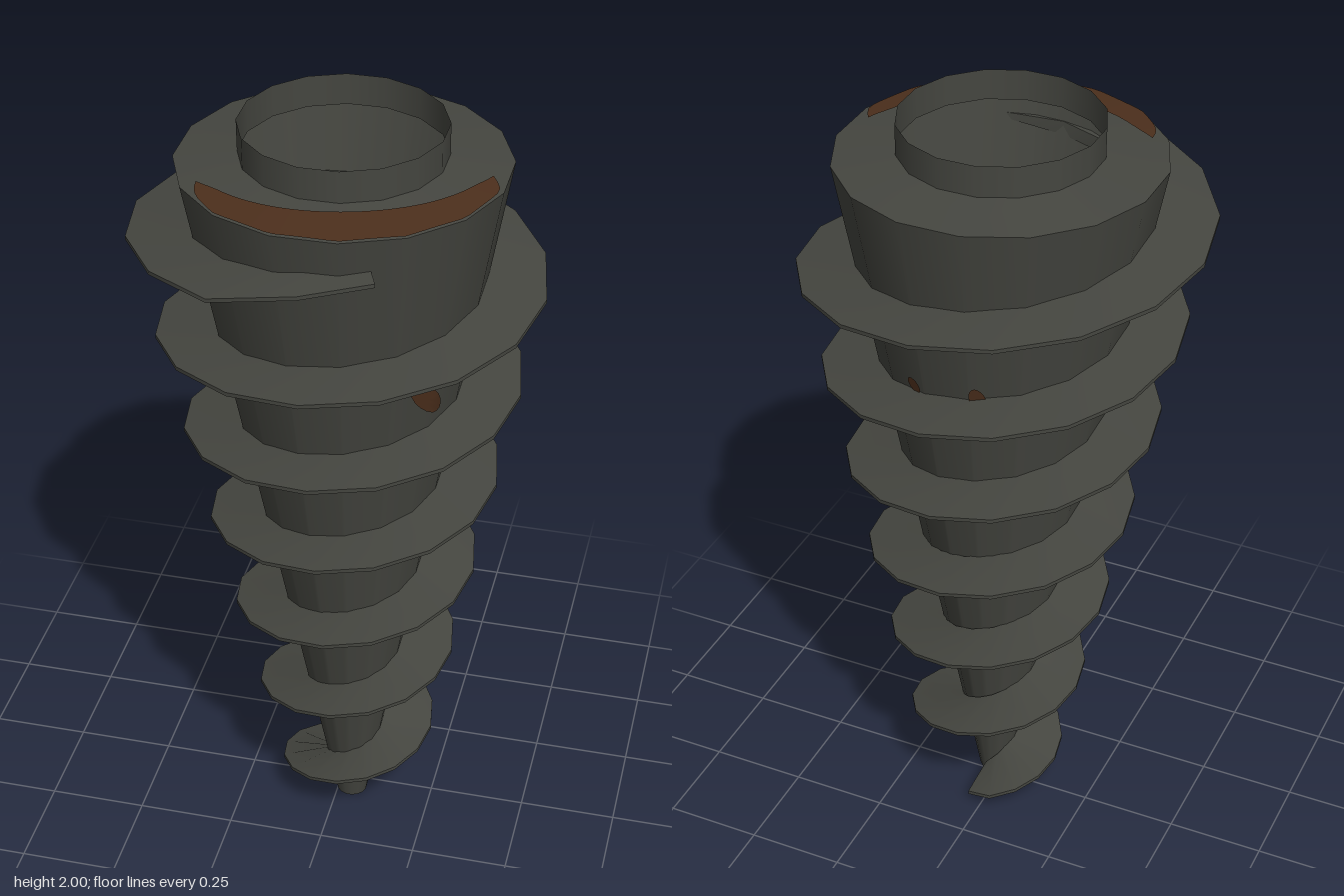
import * as THREE from 'three';

const SIDES = 16;
const TAU = Math.PI * 2;
const bodyRadius = (y) => 0.04 + 0.187 * y;

// the hollow cone leans slightly, so its centre drifts with height
const axisX = (y) => 0.036 - 0.0165 * y;
const axisZ = (y) => 0.036 - 0.0137 * y;

// distance to the flat side of the 16-sided section, as a share of its radius
function facet(phi) {
  const step = TAU / SIDES;
  const d = phi - Math.round(phi / step) * step;
  return Math.cos(step / 2) / Math.cos(d);
}

// surface over a grid: rows of equally many points, smooth within itself
function sheet(rows) {
  const n = rows[0].length;
  const index = [];
  for (let i = 0; i < rows.length - 1; i++) {
    for (let j = 0; j < n - 1; j++) {
      const a = i * n + j;
      index.push(a, a + n, a + 1, a + 1, a + n, a + n + 1);
    }
  }
  const g = new THREE.BufferGeometry();
  g.setAttribute('position', new THREE.Float32BufferAttribute(rows.flat(2), 3));
  g.setIndex(index);
  g.computeVertexNormals();
  return g;
}

export function createModel() {
  const group = new THREE.Group();
  const iron = new THREE.MeshStandardMaterial({ color: 0x454640, side: THREE.DoubleSide });
  iron.name = 'dark iron';
  const rust = new THREE.MeshStandardMaterial({ color: 0x4c2f1c, side: THREE.DoubleSide });
  rust.name = 'rust brown';

  const add = (name, geometry, material, parent = group) => {
    const mesh = new THREE.Mesh(geometry, material);
    mesh.name = name;
    parent.add(mesh);
  };

  // open cone section following the leaning axis
  const section = (name, y0, y1, r0, r1) => {
    const g = new THREE.CylinderGeometry(r1, r0, y1 - y0, SIDES, 1, true);
    g.rotateY(Math.PI / SIDES).translate(0, (y0 + y1) / 2, 0);
    const p = g.attributes.position;
    for (let i = 0; i < p.count; i++) {
      const y = p.getY(i);
      p.setX(i, p.getX(i) + axisX(y));
      p.setZ(i, p.getZ(i) + axisZ(y));
    }
    add(name, g, iron);
  };
  section('body', 0, 1.905, 0.04, 0.396);
  section('shoulder', 1.905, 1.922, 0.396, 0.246);
  section('collar', 1.922, 2, 0.246, 0.246);

  // closed tip
  const tip = new THREE.CircleGeometry(0.04, SIDES);
  tip.rotateX(Math.PI / 2).rotateY(Math.PI / SIDES).translate(axisX(0), 0, axisZ(0));
  add('tip', tip, iron);

  // screw flight: wedge section winding up the cone, tapering out at the top
  const flight = new THREE.Group();
  flight.name = 'screwFlight';
  group.add(flight);
  const steps = 105;
  const lanes = [[], [], [], []];
  for (let i = 0; i <= steps; i++) {
    const a = Math.PI / 2 - 5 * TAU + (i / SIDES) * TAU;
    const y = 1.32 + (0.272 * a) / TAU;
    const inner = bodyRadius(y) - 0.008;
    const full = 0.168 + 0.198 * y;
    const left = steps - i;
    const width = left === 0 ? 0.32 : left === 1 ? 0.55 : i === 0 ? 0.85 : 1;
    const outer = inner + (full - inner) * width;
    const at = (r, h) => [axisX(y) + r * Math.cos(a), y + h, 0.013 - r * Math.sin(a)];
    const root = left === 0 ? 0.008 : 0.018;
    lanes[0].push(at(inner, root));
    lanes[1].push(at(outer, 0.005));
    lanes[2].push(at(outer, -0.005));
    lanes[3].push(at(inner, -root));
  }
  ['flightTop', 'flightEdge', 'flightUnderside', 'flightRoot'].forEach((name, k) => {
    const next = lanes[(k + 1) % 4];
    add(name, sheet(lanes[k].map((p, i) => [p, next[i]])), iron, flight);
  });
  for (const [name, i] of [['flightLowerEnd', 0], ['flightUpperEnd', steps]]) {
    add(name, sheet([[lanes[0][i], lanes[1][i]], [lanes[3][i], lanes[2][i]]]), iron, flight);
  }

  // rust crescent on the shoulder
  const crescent = [];
  for (let i = 0; i <= 40; i++) {
    const t = i / 40;
    const phi = THREE.MathUtils.degToRad(3 + 143 * t);
    const rim = 0.394 * facet(phi) - 0.025 * Math.pow(Math.abs(2 * t - 1), 12);
    const inside = 0.345 - 0.062 * Math.sin(Math.PI * t);
    const end = Math.sqrt(Math.min(1, Math.min(t, 1 - t) / 0.06));
    const mid = (rim + inside) / 2;
    crescent.push([-1, 0, 1].map((s) => {
      const r = mid + (s * end * (rim - inside)) / 2;
      const y = 1.905 + ((0.396 - r) / 0.15) * 0.017 + 0.004;
      return [axisX(y) + r * Math.cos(phi), y, axisZ(y) + r * Math.sin(phi)];
    }));
  }
  add('shoulderRust', sheet(crescent), rust);

  // slanted oval rust spots lying on the cone
  const spot = (degrees, y0, halfWidth, halfHeight, slant) => {
    const rows = [];
    for (let k = 0; k <= 4; k++) {
      const row = [];
      for (let i = 0; i <= 16; i++) {
        const u = (i / 16) * TAU;
        const dy = (k / 4) * halfHeight * Math.sin(u);
        const side = (k / 4) * halfWidth * Math.cos(u) + slant * dy;
        const y = y0 + dy;
        const phi = THREE.MathUtils.degToRad(degrees) + side / bodyRadius(y);
        const r = bodyRadius(y) * facet(phi) + 0.004;
        row.push([axisX(y) + r * Math.cos(phi), y, axisZ(y) + r * Math.sin(phi)]);
      }
      rows.push(row);
    }
    add('bodyRust', sheet(rows), rust);
  };
  spot(38, 1.405, 0.035, 0.055, 0.7);
  spot(255, 1.415, 0.02, 0.035, 0.2);
  spot(226, 1.375, 0.02, 0.02, 0);
  spot(287, 1.41, 0.02, 0.02, 0.2);

  return group;
}
